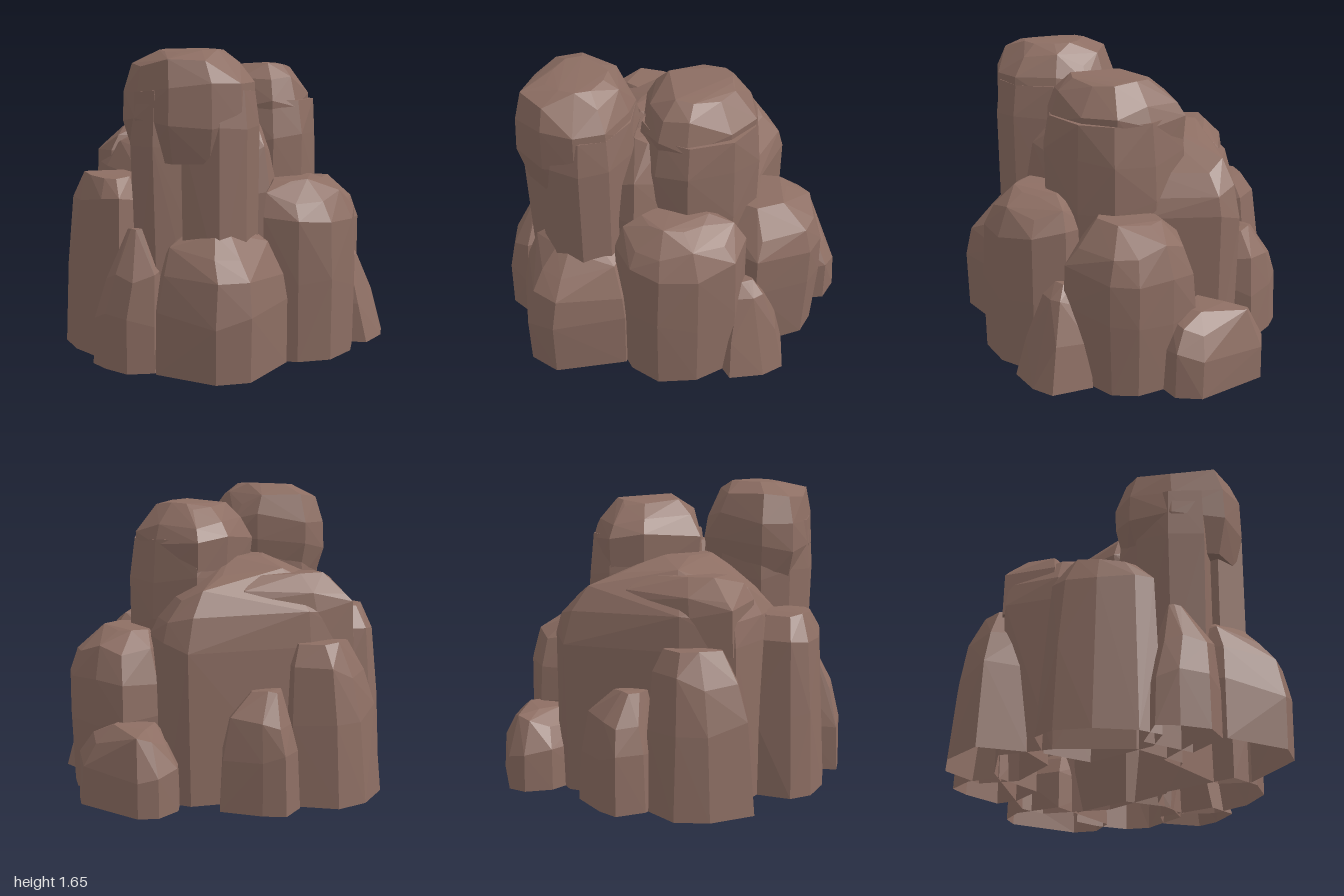
import * as THREE from 'three';
import { ConvexGeometry } from 'three/addons/geometries/ConvexGeometry.js';

// The rocks are open underneath, so both sides show
const stone = new THREE.MeshStandardMaterial({ color: 0x8d6e63, flatShading: true, side: THREE.DoubleSide });

// Small seeded generator, -1..1
let seed = 7;
const rnd = () => {
  seed = (seed * 16807) % 2147483647;
  return (seed / 2147483647) * 2 - 1;
};

// A chiselled boulder: the outline [x, z] is repeated at each level
// [y, scale, shiftX, shiftZ], roughened a little and wrapped in a convex hull.
function rock(name, outline, levels) {
  const cx = outline.reduce((s, p) => s + p[0], 0) / outline.length;
  const cz = outline.reduce((s, p) => s + p[1], 0) / outline.length;
  const points = [];
  levels.forEach(([y, scale, dx = 0, dz = 0], i) => {
    for (const [x, z] of outline) {
      const k = scale * (i ? 1 + rnd() * 0.03 : 1);
      const lift = i === 0 ? 0 : i === levels.length - 1 ? -Math.abs(rnd()) * 0.02 : rnd() * 0.04;
      points.push(new THREE.Vector3(cx + (x - cx) * k + dx, y + lift, cz + (z - cz) * k + dz));
    }
  });
  const hull = new ConvexGeometry(points);

  // Leave the underside open where the rock meets the ground
  const pos = hull.attributes.position;
  const kept = [];
  for (let i = 0; i < pos.count; i += 3) {
    if (Math.max(pos.getY(i), pos.getY(i + 1), pos.getY(i + 2)) < 0.001) continue;
    for (let j = i; j < i + 3; j++) kept.push(pos.getX(j), pos.getY(j), pos.getZ(j));
  }
  const geometry = new THREE.BufferGeometry();
  geometry.setAttribute('position', new THREE.Float32BufferAttribute(kept, 3));
  geometry.computeVertexNormals();
  const mesh = new THREE.Mesh(geometry, stone);
  mesh.name = name;
  return mesh;
}

export function createModel() {
  const group = new THREE.Group();
  group.name = 'rockFormation';
  group.add(
    // Tall front column: two shafts that part below a shared cap
    rock('tallColumnRightShaft',
      [[-0.44, 0.45], [-0.38, 0.3], [-0.15, 0.22], [-0.1, 0.5], [-0.13, 0.7], [-0.28, 0.75], [-0.4, 0.62]],
      [[0.45, 1], [0.75, 1], [1.15, 1.06, -0.01], [1.45, 1]]),
    rock('tallColumnLeftShaft',
      [[-0.17, 0.5], [-0.12, 0.24], [0.02, 0.22], [0.14, 0.34], [0.23, 0.55], [0.18, 0.7], [0.05, 0.79], [-0.14, 0.75]],
      [[0.45, 1], [0.75, 1], [1.25, 1.02], [1.45, 0.95]]),
    rock('tallColumnCap',
      [[-0.5, 0.43], [-0.42, 0.27], [-0.15, 0.18], [0, 0.2], [0.13, 0.33], [0.22, 0.55], [0.17, 0.72], [0.02, 0.83], [-0.2, 0.85], [-0.4, 0.64]],
      [[1.08, 0.84], [1.3, 0.99], [1.45, 0.97], [1.57, 0.82, -0.02], [1.655, 0.48]]),

    // Second tower, with a steep buttress at its foot
    rock('rearTowerShaft',
      [[-0.12, 0.03], [-0.08, -0.3], [0.04, -0.44], [0.3, -0.4], [0.48, -0.25], [0.53, -0.05], [0.45, 0.2], [0.3, 0.3], [0.08, 0.27]],
      [[0.6, 0.97], [0.9, 1], [1.15, 1], [1.38, 0.94]]),
    rock('rearTowerCap',
      [[-0.15, 0.05], [-0.1, -0.3], [0.03, -0.45], [0.3, -0.39], [0.45, -0.25], [0.5, -0.05], [0.43, 0.2], [0.3, 0.3], [0.1, 0.27]],
      [[1.15, 0.93], [1.36, 0.97], [1.46, 0.83], [1.53, 0.58], [1.57, 0.33, 0, -0.07]]),
    rock('rearTowerButtress',
      [[0, 0.08], [0, 0.44], [0.15, 0.5], [0.29, 0.44], [0.34, 0.22], [0.3, 0.02]],
      [[0.3, 1], [0.9, 1], [1.1, 0.9, -0.02, -0.01], [1.32, 0.5, -0.04, -0.08]]),

    // Broad mass behind the towers, with a ledge along its top
    rock('backMass',
      [[0, -0.75], [0.15, -0.72], [0.33, -0.35], [0.28, 0.1], [-0.1, 0.48], [-0.42, 0.42], [-0.68, 0.08], [-0.78, -0.2], [-0.58, -0.42]],
      [[0, 0.98], [0.84, 1], [0.98, 0.93], [1.09, 0.78], [1.18, 0.5], [1.27, 0.22, 0.05, 0.12]]),
    rock('backMassLedge',
      [[-0.77, -0.22], [-0.6, -0.37], [-0.22, -0.54], [-0.08, -0.42], [-0.28, -0.08], [-0.64, 0.03]],
      [[0.8, 1], [1.03, 1], [1.12, 0.88, 0.01], [1.2, 0.6, 0.04, 0.03]]),

    // Ring of lower rocks
    rock('rightBackRock',
      [[-0.93, -0.2], [-0.88, -0.45], [-0.76, -0.59], [-0.5, -0.6], [-0.4, -0.4], [-0.5, -0.1], [-0.72, -0.05]],
      [[0, 1], [0.45, 0.87, 0.01], [0.7, 0.76, 0.03], [0.85, 0.52, 0.06]]),
    rock('backSmallRock',
      [[-0.56, -0.62], [-0.52, -0.78], [-0.4, -0.8], [-0.17, -0.78], [-0.14, -0.66], [-0.2, -0.45], [-0.5, -0.45]],
      [[0, 1], [0.3, 0.94], [0.48, 0.76], [0.62, 0.38, -0.02, 0.06]]),
    rock('backBoulder',
      [[0.04, -0.82], [0.1, -0.96], [0.2, -1], [0.57, -0.83], [0.63, -0.7], [0.55, -0.55], [0.1, -0.55]],
      [[0, 1], [0.22, 0.96], [0.36, 0.72, 0, 0.02], [0.42, 0.4, 0, 0.06]]),
    rock('leftBackRock',
      [[0.22, -0.55], [0.38, -0.69], [0.55, -0.65], [0.73, -0.54], [0.8, -0.4], [0.72, -0.08], [0.5, 0], [0.22, -0.15]],
      [[0, 0.9], [0.4, 0.99], [0.62, 0.97], [0.78, 0.8], [0.89, 0.48, -0.05, 0.05]]),
    rock('leftFrontRock',
      [[0.25, 0.1], [0.4, -0.05], [0.65, -0.05], [0.75, 0.1], [0.73, 0.33], [0.62, 0.51], [0.45, 0.57], [0.27, 0.54]],
      [[0, 1.02], [0.4, 1.02], [0.77, 1], [0.88, 0.84, -0.03], [0.96, 0.52, -0.08]]),
    rock('leftSmallRock',
      [[0.62, -0.2], [0.75, -0.27], [0.93, -0.13], [0.92, 0], [0.83, 0.17], [0.65, 0.15]],
      [[0, 1], [0.22, 0.82, -0.04], [0.43, 0.48, -0.08], [0.54, 0.22, -0.11]]),
    rock('frontBlock',
      [[-0.31, 0.68], [-0.27, 0.85], [0.05, 1], [0.22, 0.94], [0.39, 0.58], [0.3, 0.42], [-0.2, 0.42]],
      [[0, 1], [0.32, 1], [0.52, 0.92, 0.01, -0.01], [0.64, 0.75, -0.01, -0.04], [0.73, 0.45, -0.01, -0.06]]),
    rock('rightFrontShard',
      [[-0.63, 0.68], [-0.55, 0.77], [-0.42, 0.86], [-0.28, 0.83], [-0.2, 0.6], [-0.48, 0.5]],
      [[0, 1], [0.28, 0.97], [0.5, 0.78, 0.03], [0.73, 0.22, 0.03, -0.06]]),
    rock('rightFrontRock',
      [[-0.87, 0.25], [-0.85, 0.12], [-0.65, 0], [-0.4, 0.1], [-0.4, 0.5], [-0.5, 0.63], [-0.62, 0.58], [-0.78, 0.42]],
      [[0, 1], [0.45, 0.94, 0.01], [0.84, 0.85, 0.02], [0.98, 0.58, 0.03]]),
  );
  return group;
}
